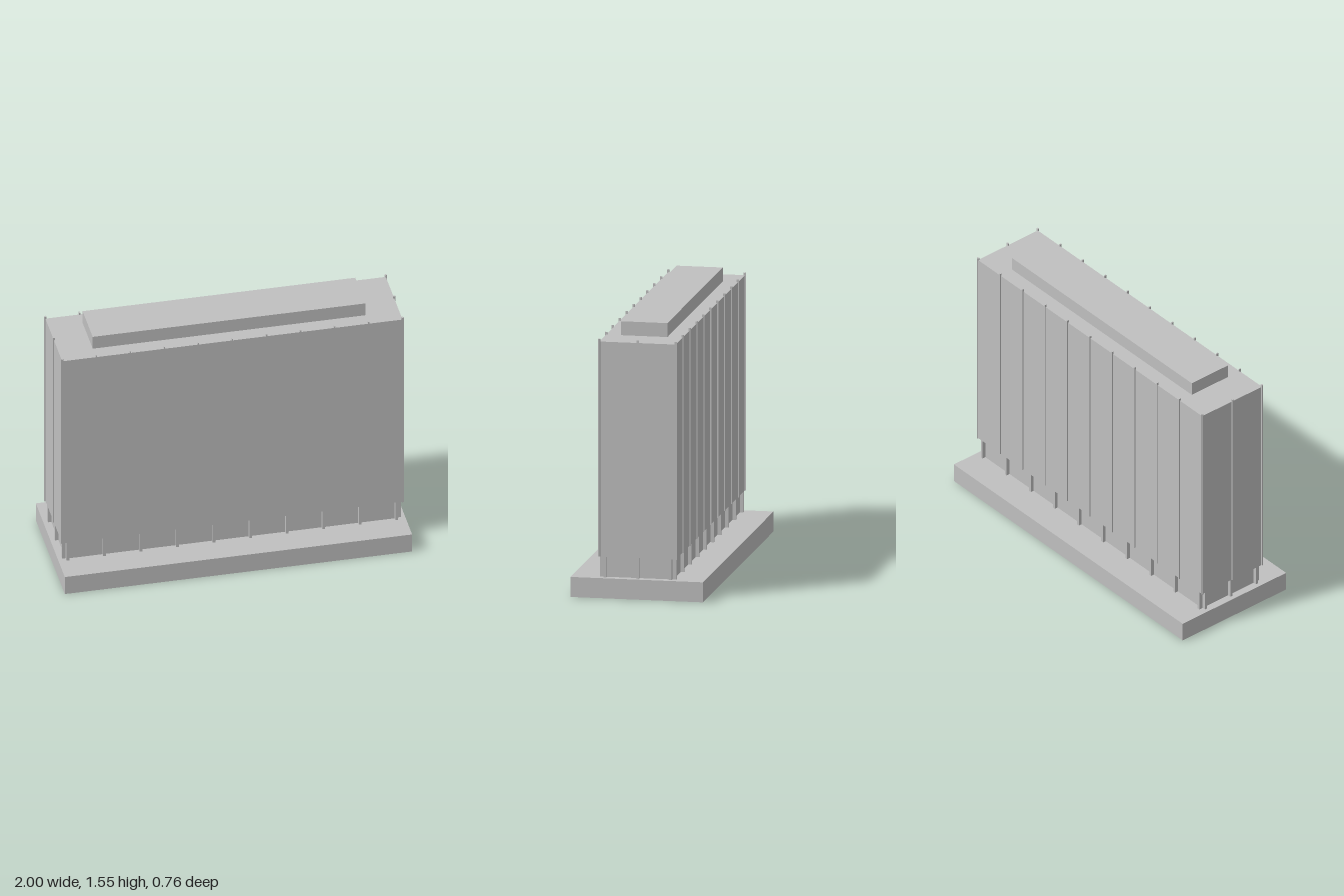
import * as THREE from 'three';

export function createModel() {
  const model = new THREE.Group();
  model.name = 'officeBlock';
  const concrete = new THREE.MeshStandardMaterial({ color: 0xc0c0c0, side: THREE.DoubleSide });
  concrete.name = 'concrete';

  // Box between two heights, centred on (x, z)
  function block(name, w, d, y0, y1, x = 0, z = 0, parent = model) {
    const mesh = new THREE.Mesh(new THREE.BoxGeometry(w, y1 - y0, d), concrete);
    mesh.name = name;
    mesh.position.set(x, (y0 + y1) / 2, z);
    parent.add(mesh);
    return mesh;
  }

  function group(name) {
    const g = new THREE.Group();
    g.name = name;
    model.add(g);
    return g;
  }

  const deck = 0.115, soffit = 0.235, roof = 1.47;

  // Hollow podium: a box whose underside (face group 3) is left open
  const podium = block('podium', 2, 0.76, 0, deck);
  const index = Array.from(podium.geometry.index.array);
  index.splice(18, 6);
  podium.geometry.setIndex(index);
  podium.geometry.clearGroups();

  // Main volumes
  block('lobby', 1.91, 0.4, deck, soffit);
  block('tower', 1.96, 0.44, soffit, roof);
  block('penthouse', 1.57, 0.265, roof, 1.55);

  // Lobby columns along the long sides and the ends
  const columns = group('lobbyColumns');
  for (const side of [-1, 1]) {
    for (let i = 0; i < 10; i++) {
      block('longSideColumn', 0.016, 0.02, deck, soffit, -0.947 + i * 1.894 / 9, side * 0.21, columns);
    }
    for (const z of [-0.187, 0, 0.187]) {
      block('endColumn', 0.02, 0.016, deck, soffit, side * 0.965, z, columns);
    }
  }

  // Slim facade fins that rise just above the roof
  const fins = group('facadeFins');
  for (const side of [-1, 1]) {
    for (let i = 0; i < 11; i++) {
      block('longSideFin', 0.007, 0.013, soffit, 1.485, -0.979 + i * 0.1958, side * 0.22, fins);
    }
    for (const z of [-0.219, 0, 0.219]) {
      block('endFin', 0.013, 0.007, soffit, 1.485, side * 0.98, z, fins);
    }
  }

  return model;
}
